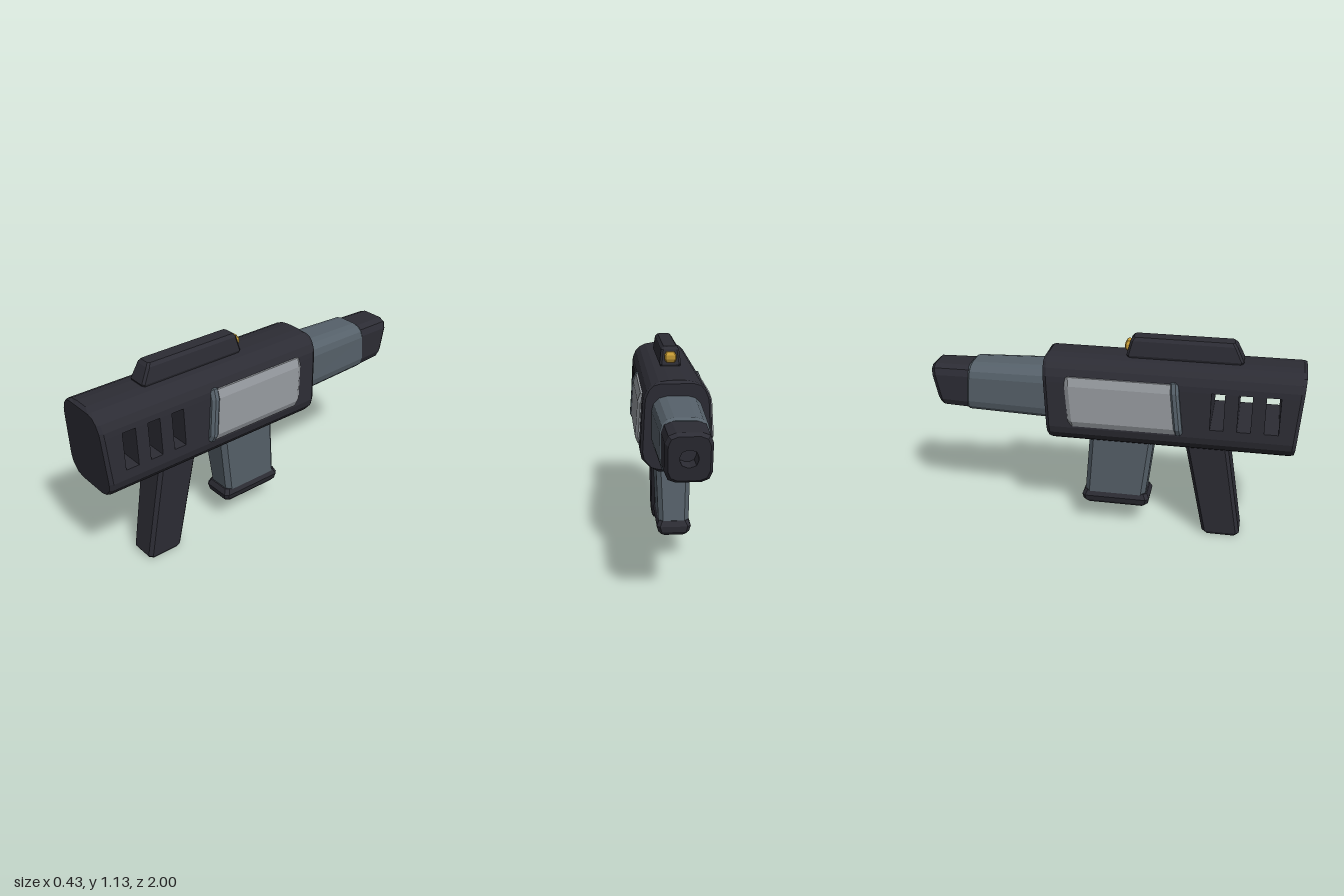
import * as THREE from 'three';

const mat = (name, color, side = THREE.FrontSide) => {
  const m = new THREE.MeshStandardMaterial({ color, flatShading: true, side });
  m.name = name;
  return m;
};

// Skin a list of equal-length rings; sections run counter-clockwise seen from the first end.
function loft(rings) {
  const pos = [];
  const tri = (...p) => p.forEach((v) => pos.push(...v));
  const n = rings[0].length;
  for (let i = 0; i < rings.length - 1; i++) {
    for (let j = 0; j < n; j++) {
      const k = (j + 1) % n;
      const a = rings[i][j], b = rings[i][k], c = rings[i + 1][k], d = rings[i + 1][j];
      tri(a, d, c);
      tri(a, c, b);
    }
  }
  const first = rings[0], last = rings[rings.length - 1];
  for (let j = 1; j < n - 1; j++) {
    tri(first[0], first[j], first[j + 1]);
    tri(last[0], last[j + 1], last[j]);
  }
  const g = new THREE.BufferGeometry();
  g.setAttribute('position', new THREE.Float32BufferAttribute(pos, 3));
  g.computeVertexNormals();
  return g;
}

// Rectangle with rounded (steps > 1) or chamfered (steps = 1) corners.
function rounded(hw, lo, hi, r, steps = 1) {
  const pts = [];
  const corners = [[hw - r, lo + r], [hw - r, hi - r], [r - hw, hi - r], [r - hw, lo + r]];
  corners.forEach(([cx, cy], q) => {
    for (let s = 0; s <= steps; s++) {
      const a = (q - 1 + s / steps) * Math.PI / 2;
      pts.push([cx + r * Math.cos(a), cy + r * Math.sin(a)]);
    }
  });
  return pts;
}

// Upright ring across z, leaning along z by slope around y = 0.8.
const ringZ = (pts, z, slope = 0) => pts.map(([x, y]) => [x, y, z + slope * (y - 0.8)]);
// Level ring at height y reaching from zBack to zFront.
const ringY = (y, hw, zBack, zFront, c = 0.018) =>
  rounded(hw, -zFront, -zBack, c).map(([x, v]) => [x, y, -v]);
const mirrored = (half) => [...half, ...half.map(([x, y]) => [-x, y]).reverse()];

export function createModel() {
  const dark = mat('dark shell', 0x2c2c34);
  const steel = mat('blue grey steel', 0x56616a);
  const light = mat('light grey panel', 0x94989d);
  const gold = mat('gold', 0xc79c35);

  const model = new THREE.Group();
  model.name = 'blaster';
  const add = (name, rings, material, parent = model) => {
    const mesh = new THREE.Mesh(loft(rings), material);
    mesh.name = name;
    parent.add(mesh);
  };

  // Body: lower and upper shells, with middle blocks leaving three open slots
  const body = new THREE.Group();
  body.name = 'body';
  model.add(body);
  const lower = mirrored([[0.095, 0.55], [0.14, 0.577], [0.18, 0.622], [0.188, 0.66], [0.185, 0.71]]);
  const middle = mirrored([[0.185, 0.71], [0.174, 0.91]]);
  const upper = mirrored([[0.174, 0.91], [0.17, 0.94], [0.152, 0.98], [0.128, 1.005], [0.09, 1.022], [0.04, 1.03]]);
  const inset = (pts) => pts.map(([x, y]) => [x * 0.93, THREE.MathUtils.clamp(y, 0.565, 1.015)]);
  const frontEnd = (p) => [ringZ(inset(p), 0.984, 0.07), ringZ(p, 0.966, 0.07)];
  const rearEnd = (p) => [ringZ(p, -0.33, -0.05), ringZ(inset(p), -0.348, -0.05)];
  add('lowerShell', [...frontEnd(lower), ...rearEnd(lower)], dark, body);
  add('upperShell', [...frontEnd(upper), ...rearEnd(upper)], dark, body);
  add('frontBlock', [...frontEnd(middle), ringZ(middle, 0.88)], dark, body);
  for (const z of [0.807, 0.668]) {
    add('slotDivider', [ringZ(middle, z), ringZ(middle, z - 0.07)], dark, body);
  }
  add('rearBlock', [ringZ(middle, 0.529), ...rearEnd(middle)], dark, body);

  // Barrel
  add('barrel', [
    ringZ(rounded(0.13, 0.655, 0.953, 0.075, 3), -0.33),
    ringZ(rounded(0.117, 0.665, 0.939, 0.068, 3), -0.782, 0.09),
    ringZ(rounded(0.107, 0.675, 0.928, 0.06, 3), -0.796, 0.09),
  ], steel);

  // Muzzle with a recessed bore
  add('muzzle', [
    ringZ(rounded(0.112, 0.675, 0.924, 0.05, 2), -0.77),
    ringZ(rounded(0.108, 0.68, 0.92, 0.05, 2), -0.955, -0.2),
    ringZ(rounded(0.094, 0.694, 0.906, 0.045, 2), -0.977, -0.2),
    ringZ(rounded(0.042, 0.758, 0.842, 0.034, 2), -0.977, -0.2),
    ringZ(rounded(0.042, 0.758, 0.842, 0.034, 2), -0.87),
  ], dark);

  // Grip
  add('grip', [
    ringY(0.6, 0.094, 0.39, 0.62),
    ringY(0.02, 0.08, 0.508, 0.716),
    ringY(0, 0.068, 0.522, 0.704),
  ], dark);

  // Magazine and its base plate
  add('magazine', [
    ringY(0.6, 0.096, -0.122, 0.232, 0.025),
    ringY(0.2, 0.082, -0.157, 0.182, 0.025),
  ], steel);
  add('magazineBase', [
    ringY(0.22, 0.08, -0.158, 0.192),
    ringY(0.19, 0.093, -0.172, 0.206),
    ringY(0.158, 0.084, -0.168, 0.2),
    ringY(0.138, 0.068, -0.152, 0.184),
  ], dark);

  // Top rail and rear sight
  add('topRail', [
    ringY(1.135, 0.035, 0.105, 0.625, 0.01),
    ringY(1.118, 0.049, 0.09, 0.64, 0.012),
    ringY(1.04, 0.059, 0.07, 0.678, 0.012),
    ringY(1.015, 0.05, 0.08, 0.67, 0.012),
  ], dark);
  add('rearSight', [
    ringY(1.108, 0.022, 0.068, 0.11, 0.006),
    ringY(1.09, 0.032, 0.058, 0.11, 0.006),
    ringY(1.068, 0.032, 0.06, 0.11, 0.006),
    ringY(1.05, 0.024, 0.07, 0.11, 0.006),
  ], gold);

  // Side panels, each with a bar along its front edge
  const panel = [[0.165, 0.665], [0.194, 0.672], [0.207, 0.705], [0.194, 0.9], [0.178, 0.945], [0.16, 0.945]];
  const bar = [[0.165, 0.66], [0.196, 0.668], [0.214, 0.705], [0.201, 0.905], [0.18, 0.953], [0.16, 0.953]];
  const shrink = (pts) => pts.map(([x, y]) => [x - 0.014, 0.8 + (y - 0.8) * 0.93]);
  for (const s of [1, -1]) {
    const side = (pts) => (s > 0 ? pts : pts.map(([x, y]) => [-x, y]).reverse());
    const name = s > 0 ? 'left' : 'right';
    add(name + 'Panel', [
      ringZ(side(panel), 0.35, -0.12),
      ringZ(side(panel), -0.205, -0.09),
      ringZ(side(shrink(panel)), -0.228, -0.09),
    ], light);
    add(name + 'PanelBar', [
      ringZ(side(shrink(bar)), 0.376, -0.12),
      ringZ(side(bar), 0.362, -0.12),
      ringZ(side(bar), 0.342, -0.12),
      ringZ(side(shrink(bar)), 0.324, -0.12),
    ], steel);
  }
  return model;
}
